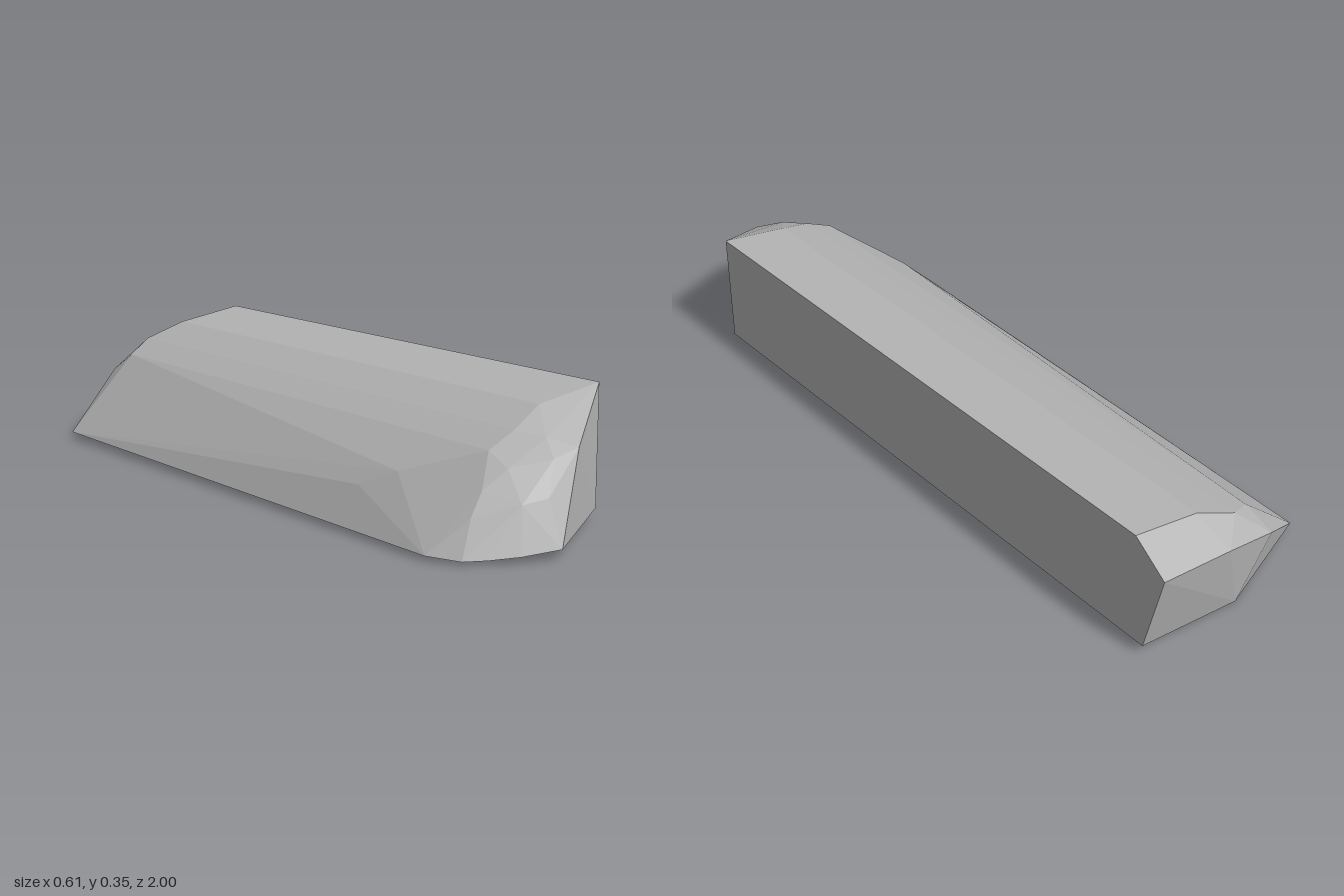
import * as THREE from 'three';
import { ConvexGeometry } from 'three/addons/geometries/ConvexGeometry.js';

// Faceted half-vault block: flat wall on +x, curved back falling to -x, chipped ends.
export function createModel() {
  const group = new THREE.Group();
  const grey = new THREE.MeshStandardMaterial({ color: 0xb4b4b4, flatShading: true });
  grey.name = 'stone grey';

  // Upright wall outline on the +x side: [y, z]
  const wall = [[0.352, 0.76], [0.028, 0.76], [0.352, -0.9], [0.275, -1], [0.03, -0.945]]
    .map(([y, z]) => [0.305, y, z]);

  // Vault ridges running lengthwise: [x, y, front z, back z]
  const ridges = [];
  [
    [0.11, 0.317, 0.755, -0.91], [0, 0.272, 0.79, -0.935], [-0.08, 0.232, 0.79, -0.9],
  ].forEach(([x, y, front, back]) => ridges.push([x, y, front], [x, y, back]));

  // Low outer flank and its corner
  const flank = [[-0.19, 0.157, 0.58], [-0.235, 0.11, 0.48], [-0.308, 0.02, -0.87], [-0.296, 0.014, 0.82]];

  // Rounded front nose
  const nose = [
    [-0.03, 0.027, 1], [-0.13, 0.018, 0.97], [-0.2, 0.013, 0.935], [-0.25, 0.01, 0.9],
    [0.095, 0.24, 0.915], [0.04, 0.26, 0.86], [-0.08, 0.2, 0.86], [-0.15, 0.155, 0.85],
    [-0.2, 0.1, 0.87], [-0.1, 0.13, 0.935], [-0.03, 0.14, 0.95], [0.02, 0.22, 0.91],
  ];

  // Chipped tail and bottom keel
  const tail = [[0.08, 0.24, -1], [-0.1, 0.178, -0.975], [0, 0.002, -0.965]];

  const points = [...wall, ...ridges, ...flank, ...nose, ...tail].map((p) => new THREE.Vector3(...p));
  const block = new THREE.Mesh(new ConvexGeometry(points), grey);
  block.name = 'block';
  group.add(block);
  return group;
}
